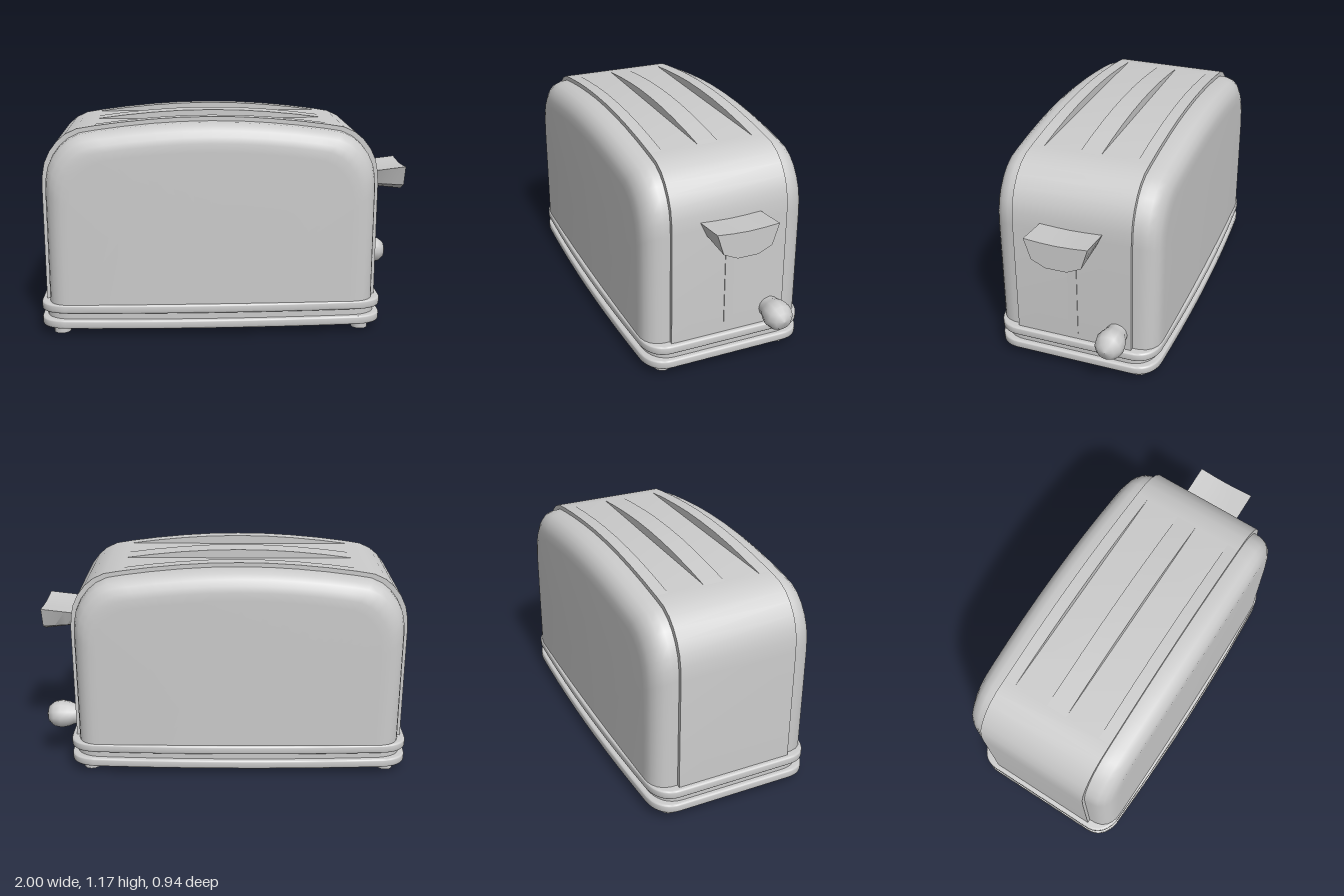
import * as THREE from 'three';
import { toCreasedNormals, mergeVertices } from 'three/addons/utils/BufferGeometryUtils.js';

const CX = -0.08;      // centre of the body along x
const FLOOR = 0.18;    // top of the base
const HALF = 0.895;    // half length of the shell
const mat = new THREE.MeshStandardMaterial({ color: 0xcccccc, side: THREE.DoubleSide });

// right half of the arched shell outline, from top centre down to the base
const arc = [[0, 1.168], [0.16, 1.165], [0.31, 1.156], [0.47, 1.141], [0.62, 1.122], [0.705, 1.108],
  [0.765, 1.08], [0.81, 1.042], [0.85, 0.99], [0.878, 0.93], [0.89, 0.87], [HALF, 0.8], [HALF, FLOOR]];
const outline = [...arc.slice(1).reverse(), ...arc.map(([x, y]) => [-x, y])];

const toShape = pts => new THREE.Shape(pts.map(p => new THREE.Vector2(...p)));

function add(group, name, geo, x = 0, y = 0, z = 0) {
  const mesh = new THREE.Mesh(geo, mat);
  mesh.name = name;
  mesh.position.set(x, y, z);
  group.add(mesh);
  return mesh;
}

// flat outline pulled along z between two depths
function slab(pts, z0, z1) {
  const g = new THREE.ExtrudeGeometry(toShape(pts), { depth: z1 - z0, bevelEnabled: false });
  return toCreasedNormals(g.translate(0, 0, z0), 0.6);
}

// rounded side cover: shrinking copies of the outline, closing on the bulged face
function coverGeometry() {
  const rings = [[0.02, 0.3], [0.022, 0.35], [0.032, 0.385], [0.052, 0.412], [0.08, 0.43],
    [0.11, 0.438], [0.15, 0.44], [0.4, 0.441], [0.65, 0.441], [HALF, 0.441]];
  const pos = [], idx = [], n = outline.length;
  for (const [inset, z] of rings) {
    for (const [x, y] of outline) {
      const px = x * (1 - inset / HALF);
      const py = FLOOR + (y - FLOOR) * (1 - inset / HALF);
      pos.push(px, py, z + 0.012 * (1 - (px / HALF) ** 2));
    }
  }
  for (let r = 0; r < rings.length - 1; r++) {
    for (let i = 0; i < n - 1; i++) {
      const a = r * n + i, b = a + n;
      idx.push(a, a + 1, b);
      if (r < rings.length - 2) idx.push(a + 1, b + 1, b);
    }
  }
  const g = new THREE.BufferGeometry();
  g.setAttribute('position', new THREE.Float32BufferAttribute(pos, 3));
  g.setIndex(idx);
  const merged = mergeVertices(g);
  merged.computeVertexNormals();
  return merged;
}

// base plate with rounded corners and slightly bowed long sides
function plateGeometry(inset, height, bevel) {
  const hx = 0.92 - inset, hz = 0.447 - inset, bow = 0.045, r = 0.13;
  const s = new THREE.Shape();
  s.moveTo(-hx + r, -hz);
  s.quadraticCurveTo(0, -hz - bow, hx - r, -hz);
  s.bezierCurveTo(hx - r * 0.4, -hz + 0.01, hx, -hz + r * 0.4, hx, -hz + r);
  s.lineTo(hx, hz - r);
  s.bezierCurveTo(hx, hz - r * 0.4, hx - r * 0.4, hz - 0.01, hx - r, hz);
  s.quadraticCurveTo(0, hz + bow, -hx + r, hz);
  s.bezierCurveTo(-hx + r * 0.4, hz - 0.01, -hx, hz - r * 0.4, -hx, hz - r);
  s.lineTo(-hx, -hz + r);
  s.bezierCurveTo(-hx, -hz + r * 0.4, -hx + r * 0.4, -hz + 0.01, -hx + r, -hz);
  const g = new THREE.ExtrudeGeometry(s, {
    depth: height - 2 * bevel, bevelEnabled: bevel > 0, bevelSize: bevel,
    bevelThickness: bevel, bevelOffset: -bevel, bevelSegments: 3, curveSegments: 10,
  });
  return toCreasedNormals(g.translate(0, 0, bevel).rotateX(-Math.PI / 2), 0.7);
}

// lever paddle: boat-shaped section that grows taller towards its free end
function leverGeometry() {
  const section = [[-0.165, 0.073], [-0.13, -0.037], [-0.055, -0.072], [0.055, -0.072],
    [0.13, -0.037], [0.165, 0.073], [0.08, 0.066], [0, 0.063], [-0.08, 0.066]];
  const g = new THREE.ExtrudeGeometry(toShape(section), { depth: 0.195, steps: 3, bevelEnabled: false });
  g.rotateY(Math.PI / 2);
  const p = g.attributes.position;
  for (let i = 0; i < p.count; i++) p.setY(i, p.getY(i) * (0.68 + 0.32 * p.getX(i) / 0.195));
  return toCreasedNormals(g, 0.75);
}

export function createModel() {
  const model = new THREE.Group();
  model.name = 'toaster';

  // central shell, level along the slot floors
  const shell = new THREE.Group();
  shell.name = 'shell';
  shell.position.x = CX;
  model.add(shell);
  add(shell, 'shellCore', slab(outline.filter(([x]) => Math.abs(x) > 0.6), -0.315, 0.315));

  // arched strips that leave the two bread slots between them
  const crown = outline.filter(([x]) => Math.abs(x) < 0.63);
  for (const [z0, z1] of [[-0.315, -0.25], [-0.058, 0.055], [0.25, 0.315]]) {
    add(shell, 'slotRim', slab(crown, z0, z1));
  }

  // front and back covers
  const cover = coverGeometry();
  add(shell, 'frontCover', cover);
  add(shell, 'backCover', cover).rotation.y = Math.PI;

  // base: two plates with a groove between them
  add(model, 'lowerBasePlate', plateGeometry(0, 0.047, 0.01), CX, 0.048, 0);
  add(model, 'baseGroove', plateGeometry(0.027, 0.06, 0), CX, 0.085, 0);
  add(model, 'upperBasePlate', plateGeometry(0, 0.047, 0.01), CX, 0.134, 0);

  // feet
  const foot = new THREE.CylinderGeometry(0.045, 0.045, 0.055, 12);
  for (const sx of [-1, 1]) {
    for (const sz of [-1, 1]) add(model, 'foot', foot, CX + sx * 0.815, 0.0275, sz * 0.335);
  }

  // lever, its track and the browning knob on the left end
  add(model, 'leverTrack', new THREE.BoxGeometry(0.02, 0.535, 0.05), 0.809, 0.4825, 0);
  add(model, 'lever', leverGeometry(), 0.805, 0.787, 0);
  const knobProfile = [[0.058, 0], [0.058, 0.03], [0.07, 0.06], [0.078, 0.1], [0.07, 0.14], [0.045, 0.17], [0, 0.183]]
    .map(p => new THREE.Vector2(...p));
  const knob = add(model, 'knob', new THREE.LatheGeometry(knobProfile, 12), 0.805, 0.27, -0.237);
  knob.rotation.z = -Math.PI / 2;

  return model;
}
